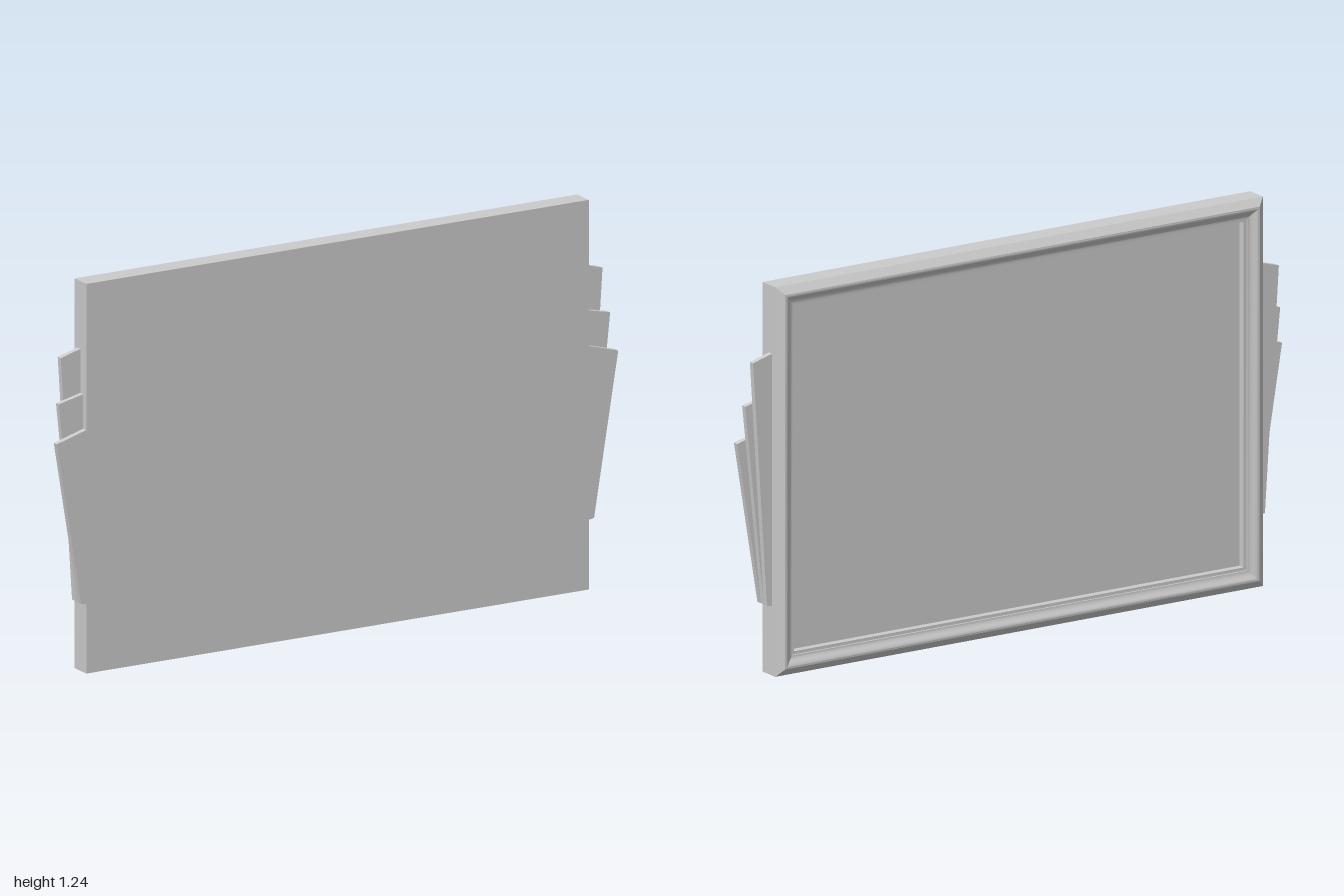
import * as THREE from 'three';
import { toCreasedNormals } from 'three/addons/utils/BufferGeometryUtils.js';

const W = 0.895, H = 1.24, FRONT = 0.045, FLOOR = 0.0;

// Mitred rectangular frame: each profile point is [inset from outer edge, z].
function mitredFrame(profile) {
  const ring = ([d, z]) => [
    [W - d, d, z], [W - d, H - d, z], [-W + d, H - d, z], [-W + d, d, z],
  ];
  const pos = [];
  for (let i = 0; i < profile.length - 1; i++) {
    const f = ring(profile[i]), b = ring(profile[i + 1]);
    for (let k = 0; k < 4; k++) {
      const n = (k + 1) % 4;
      pos.push(...f[k], ...b[k], ...b[n], ...f[k], ...b[n], ...f[n]);
    }
  }
  const g = new THREE.BufferGeometry();
  g.setAttribute('position', new THREE.Float32BufferAttribute(pos, 3));
  g.computeVertexNormals();
  return toCreasedNormals(g, 0.4);
}

export function createModel() {
  const group = new THREE.Group();
  const material = new THREE.MeshStandardMaterial({ color: 0xcccccc });
  const add = (name, geometry) => {
    const mesh = new THREE.Mesh(geometry, material);
    mesh.name = name;
    group.add(mesh);
    return mesh;
  };

  // Outer walls, raised moulding and recess wall
  const inset = 0.07;
  add('frame', mitredFrame([
    [0, FRONT], [0, -0.025], [0.024, -0.044], [0.03, -0.045], [0.036, -0.043],
    [0.044, -0.036], [0.054, -0.031], [0.06, -0.03], [0.06, -0.024],
    [inset, -0.024], [inset, FLOOR],
  ]));

  // Flat front and recessed back panel
  add('frontPanel', new THREE.PlaneGeometry(2 * W, H)).position.set(0, H / 2, FRONT);
  const back = add('backPanel', new THREE.PlaneGeometry(2 * (W - inset), H - 2 * inset));
  back.position.set(0, H / 2, FLOOR);
  back.rotation.y = Math.PI;

  // Fanned side plates: [inner top y, outer top x, outer top y, back z, depth]
  const plates = [
    [0.775, 1.0, 0.745, 0.027, 0.018],
    [0.885, 0.982, 0.865, 0.01, 0.017],
    [1.025, 0.965, 1.005, -0.008, 0.018],
  ];
  for (const [side, label] of [[1, 'left'], [-1, 'right']]) {
    plates.forEach(([yIn, xOut, yOut, z, depth], i) => {
      const shape = new THREE.Shape([
        [W, 0.222], [0.914, 0.225], [xOut, yOut], [W, yIn],
      ].map(([x, y]) => new THREE.Vector2(side * x, y)));
      const g = new THREE.ExtrudeGeometry(shape, { depth, bevelEnabled: false });
      add(`${label}Plate${i + 1}`, g).position.z = z;
    });
  }
  return group;
}
